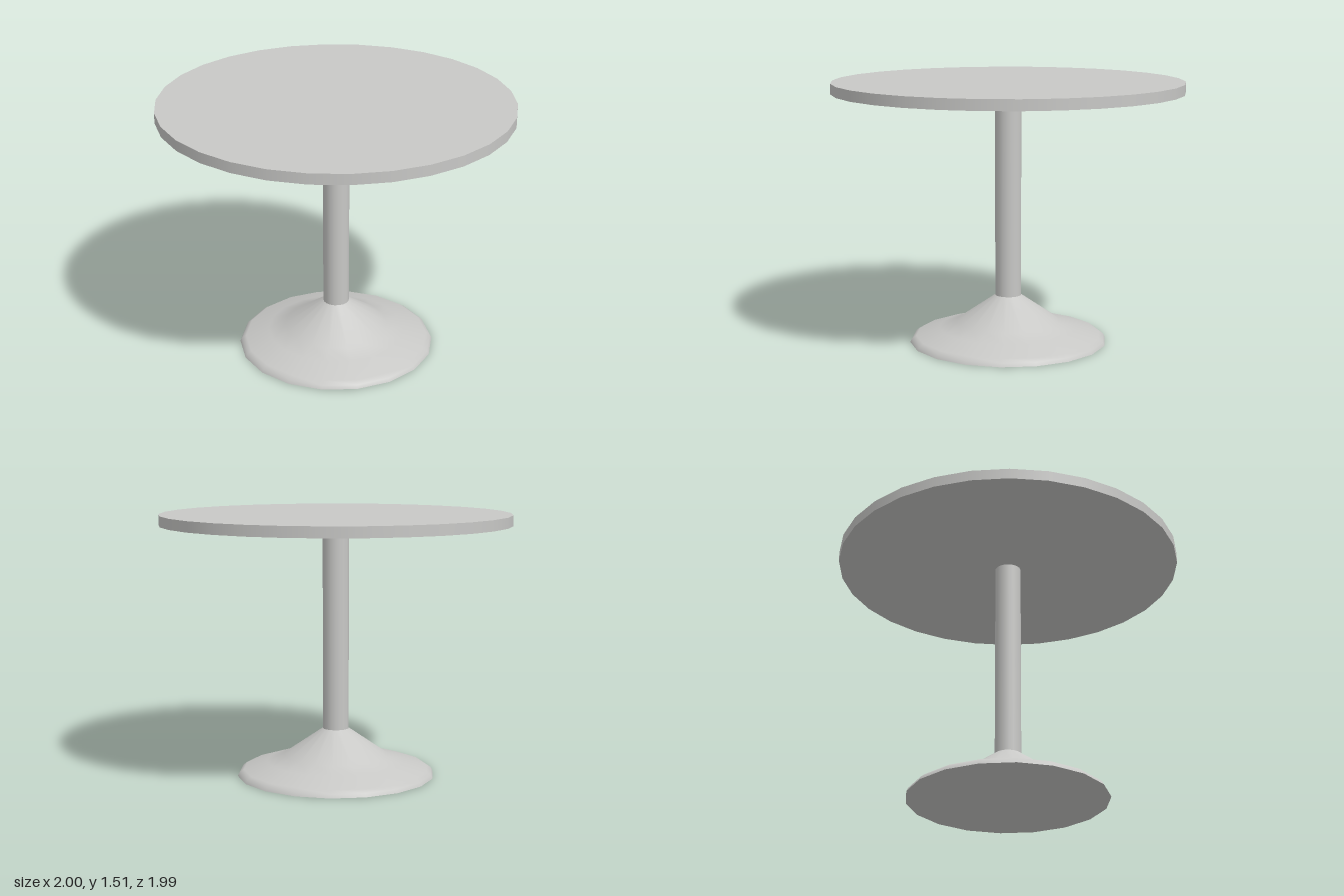
import * as THREE from 'three';

export function createModel() {
  const group = new THREE.Group();
  group.name = 'pedestalTable';

  const grey = new THREE.MeshStandardMaterial({ color: 0xc8c8c6 });
  grey.name = 'pale grey';

  const addPart = (name, geometry, y) => {
    const mesh = new THREE.Mesh(geometry, grey);
    mesh.name = name;
    mesh.position.y = y;
    group.add(mesh);
  };

  // Upright cylinder with a corner on the x axis
  const disc = (radius, bottom, top, sides, open = false) =>
    new THREE.CylinderGeometry(radius, radius, top - bottom, sides, 1, open, Math.PI / 2);

  const poleBottom = 0.27, topBottom = 1.448, topHeight = 1.508;

  // Round table top
  addPart('tableTop', disc(1, topBottom, topHeight, 30), (topBottom + topHeight) / 2);

  // Central column
  addPart('column', disc(0.075, poleBottom, topBottom, 18, true), (poleBottom + topBottom) / 2);

  // Flared foot, smooth from rim to column
  const profile = [
    [0.57, 0], [0.56, 0.02], [0.535, 0.038], [0.4, 0.08], [0.3, 0.115], [0.075, poleBottom],
  ].map(([r, y]) => new THREE.Vector2(r, y));
  addPart('foot', new THREE.LatheGeometry(profile, 18, Math.PI / 2), 0);

  // Flat underside of the foot
  addPart('footUnderside', new THREE.CircleGeometry(0.57, 18).rotateX(Math.PI / 2), 0);

  return group;
}
